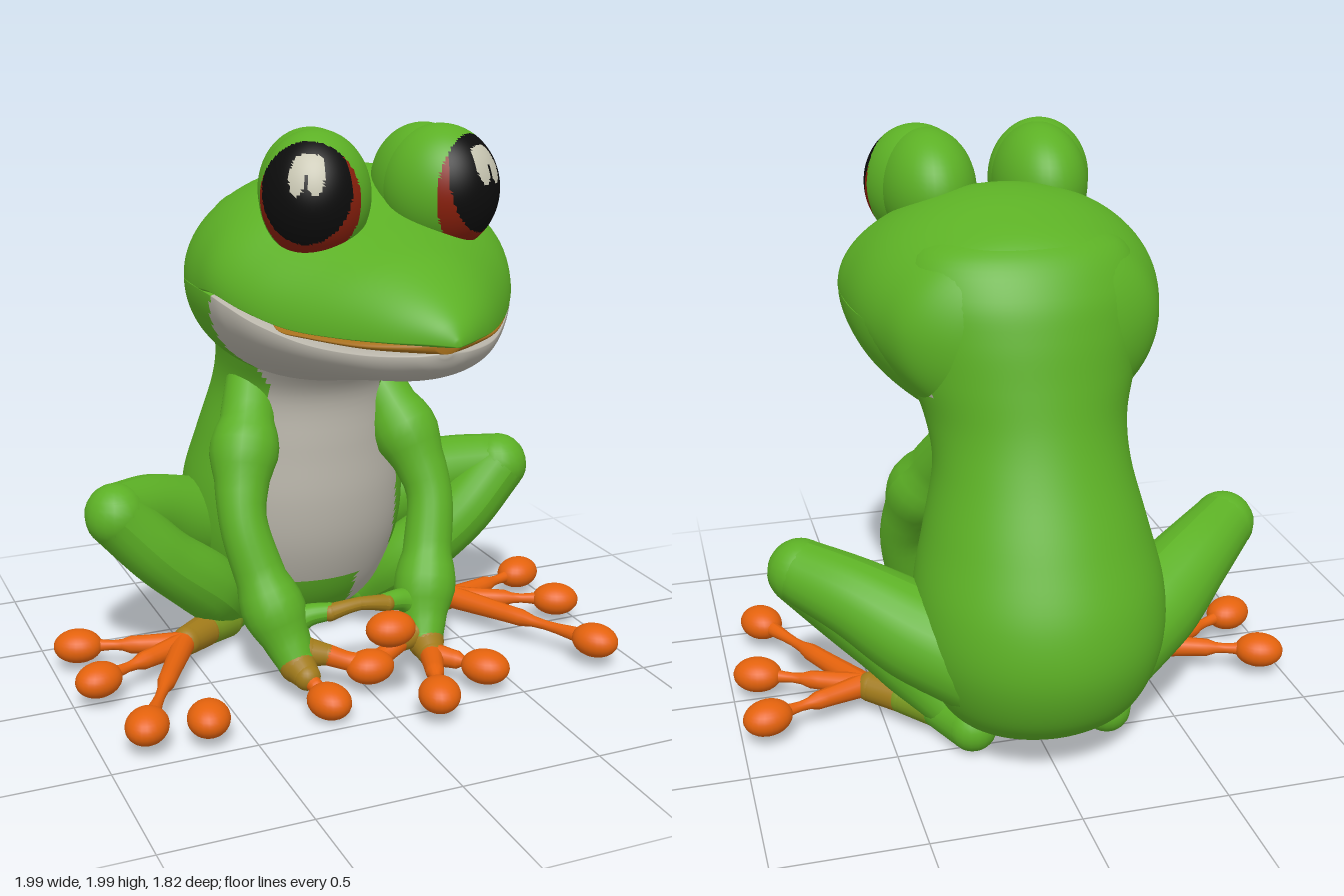
import * as THREE from 'three';
import { mergeGeometries } from 'three/addons/utils/BufferGeometryUtils.js';

const mat = (name, color) => Object.assign(new THREE.MeshStandardMaterial({ color }), { name });
const GREEN = mat('skin green', 0x5cb025);
const GREY = mat('belly grey', 0xb8b4a9);
const ORANGE = mat('toe orange', 0xe4620c);
const MOSS = mat('ankle moss', 0x7a9a20);
const OLIVE = mat('ankle olive', 0xa07a1a);
const MOUTH = mat('mouth brown', 0xa8701c);
const BLACK = mat('eye black', 0x0c0c0c);
const RED = mat('eye red', 0x8a200c);
const SHINE = mat('eye shine', 0xc8c6b2);

const spline = (a, b, c, d, t) =>
  0.5 * (2 * b + (c - a) * t + (2 * a - 5 * b + 4 * c - d) * t * t + (3 * b - a - 3 * c + d) * t * t * t);

// Smooth closed skin through rows of section values; place(row, angle) gives a point.
function loft(rows, place, steps = 6, sides = 96) {
  const rings = [];
  const last = rows.length - 1;
  for (let i = 0; i < last; i++) {
    for (let s = 0; s < steps + (i === last - 1 ? 1 : 0); s++) {
      const r = (k) => rows[Math.min(last, Math.max(0, k))];
      rings.push(rows[i].map((_, c) => spline(r(i - 1)[c], r(i)[c], r(i + 1)[c], r(i + 2)[c], s / steps)));
    }
  }
  const pos = [], index = [];
  for (const ring of rings) {
    for (let j = 0; j < sides; j++) pos.push(...place(ring, (j / sides) * Math.PI * 2));
  }
  const at = (i, j) => i * sides + (j % sides);
  for (let i = 0; i < rings.length - 1; i++) {
    for (let j = 0; j < sides; j++) {
      index.push(at(i, j), at(i + 1, j), at(i, j + 1), at(i + 1, j), at(i + 1, j + 1), at(i, j + 1));
    }
  }
  // end caps
  const n = rings.length - 1;
  for (let j = 1; j < sides - 1; j++) {
    index.push(at(0, 0), at(0, j), at(0, j + 1), at(n, 0), at(n, j + 1), at(n, j));
  }
  const geo = new THREE.BufferGeometry();
  geo.setAttribute('position', new THREE.Float32BufferAttribute(pos, 3));
  geo.setIndex(index);
  geo.computeVertexNormals();
  return geo;
}

// Sorts faces into material groups; pick(x, y, z) returns a material number.
function paint(geo, count, pick) {
  const p = geo.attributes.position, src = geo.index.array;
  const buckets = Array.from({ length: count }, () => []);
  for (let i = 0; i < src.length; i += 3) {
    const f = [src[i], src[i + 1], src[i + 2]];
    const mid = (get) => f.reduce((sum, k) => sum + get(k), 0) / 3;
    buckets[pick(mid((k) => p.getX(k)), mid((k) => p.getY(k)), mid((k) => p.getZ(k)))].push(...f);
  }
  geo.clearGroups();
  geo.setIndex(buckets.flat());
  let start = 0;
  buckets.forEach((b, m) => {
    geo.addGroup(start, b.length, m);
    start += b.length;
  });
  return geo;
}

// Round-ended tapering tube through [x, y, z, radius] points.
function limb(points, n = 24, sides = 20) {
  const curve = new THREE.CatmullRomCurve3(points.map((q) => new THREE.Vector3(q[0], q[1], q[2])));
  const radii = new THREE.CatmullRomCurve3(points.map((q) => new THREE.Vector3(q[3], 0, 0)));
  const geo = new THREE.TubeGeometry(curve, n, 1, sides);
  const p = geo.attributes.position, v = new THREE.Vector3();
  for (let i = 0; i <= n; i++) {
    const c = curve.getPointAt(i / n);
    const r = radii.getPoint(curve.getUtoTmapping(i / n)).x;
    for (let j = 0; j <= sides; j++) {
      const k = i * (sides + 1) + j;
      v.fromBufferAttribute(p, k).sub(c).multiplyScalar(r).add(c);
      p.setXYZ(k, v.x, v.y, v.z);
    }
  }
  geo.computeVertexNormals();
  const ends = [points[0], points[points.length - 1]].map((q) =>
    new THREE.SphereGeometry(q[3], 20, 14).translate(q[0], q[1], q[2]));
  return mergeGeometries([geo, ...ends]);
}

export function createModel() {
  const frog = new THREE.Group();
  frog.name = 'frog';
  const add = (name, geo, material, parent = frog) => {
    const mesh = new THREE.Mesh(geo, material);
    mesh.name = name;
    parent.add(mesh);
    return mesh;
  };

  // Torso rows: y, front z, back z, half width
  const torso = loft([
    [0.06, -0.36, -0.5, 0.06], [0.075, -0.28, -0.6, 0.2], [0.14, -0.2, -0.74, 0.3], [0.25, -0.13, -0.85, 0.37],
    [0.42, -0.07, -0.91, 0.42], [0.6, -0.05, -0.89, 0.42], [0.8, -0.06, -0.8, 0.375], [1.0, -0.06, -0.7, 0.33],
    [1.15, 0.05, -0.64, 0.34], [1.3, 0.15, -0.6, 0.39], [1.45, 0.18, -0.565, 0.425], [1.58, 0.1, -0.52, 0.41],
    [1.7, 0.0, -0.43, 0.33], [1.77, -0.08, -0.28, 0.12],
  ], ([y, f, b, w], a) => [w * Math.cos(a), y, (f + b) / 2 + ((f - b) / 2) * Math.sin(a)]);
  const bellyWidth = (y) => (y < 0.8 ? 0.31 : 0.22 + Math.max(0, 0.9 - y) * 0.9 + Math.max(0, y - 1.05) * 0.6);
  const isBelly = (x, y, z) => (y < 0.11 && z > -0.58) ||
    (z > -0.4 && y > (Math.abs(x) < 0.13 ? 0.27 : 0.08) && y < 1.3 && Math.abs(x) < bellyWidth(y));
  add('torso', paint(torso, 2, (x, y, z) => (isBelly(x, y, z) ? 1 : 0)), [GREEN, GREY]);

  // Head and jaw rows: z, top y, middle y, bottom y, half width
  const section = ([z, top, mid, low, w], a) => {
    const s = Math.sin(a);
    return [w * Math.cos(a), mid + (s > 0 ? top - mid : mid - low) * s, z];
  };
  add('upperHead', loft([
    [0.91, 1.42, 1.405, 1.4, 0.01], [0.87, 1.48, 1.41, 1.395, 0.08], [0.78, 1.55, 1.405, 1.39, 0.18],
    [0.65, 1.62, 1.4, 1.385, 0.285], [0.5, 1.67, 1.405, 1.385, 0.39], [0.35, 1.72, 1.44, 1.41, 0.48],
    [0.2, 1.79, 1.475, 1.44, 0.535], [0.05, 1.835, 1.465, 1.36, 0.54], [-0.1, 1.83, 1.46, 1.2, 0.525],
    [-0.25, 1.79, 1.45, 1.1, 0.48], [-0.38, 1.735, 1.44, 1.1, 0.42], [-0.47, 1.65, 1.42, 1.16, 0.3],
    [-0.52, 1.56, 1.4, 1.25, 0.15],
  ], section), GREEN);

  const jaw = loft([
    [0.83, 1.37, 1.36, 1.35, 0.02], [0.8, 1.37, 1.355, 1.3, 0.1], [0.7, 1.37, 1.35, 1.25, 0.225],
    [0.55, 1.375, 1.36, 1.215, 0.345], [0.4, 1.415, 1.4, 1.18, 0.45], [0.28, 1.46, 1.44, 1.15, 0.51],
    [0.2, 1.48, 1.46, 1.13, 0.534], [0.05, 1.48, 1.465, 1.09, 0.542], [-0.1, 1.47, 1.46, 1.07, 0.527],
    [-0.25, 1.46, 1.45, 1.07, 0.475], [-0.38, 1.45, 1.44, 1.12, 0.4],
  ], section);
  add('lowerJaw', paint(jaw, 2, (x, y, z) => (z > 0.2 - (1.46 - y) * 0.55 ? 1 : 0)), [GREEN, GREY]);

  // Mouth lining between the lips
  add('mouthLining', loft([
    [0.84, 1.41, 1.39, 1.365, 0.04], [0.8, 1.41, 1.385, 1.36, 0.118], [0.7, 1.41, 1.38, 1.355, 0.235],
    [0.55, 1.41, 1.385, 1.36, 0.35], [0.46, 1.41, 1.39, 1.37, 0.4], [0.38, 1.43, 1.42, 1.4, 0.4],
  ], section), MOUTH);

  const inside = (x, y, cx, cy, rx, ry) => ((x - cx) / rx) ** 2 + ((y - cy) / ry) ** 2 < 1;
  const pad = (parent, name, at, yaw) => {
    const mesh = add(name, new THREE.SphereGeometry(1, 24, 16).scale(0.073, 0.06, 0.088), ORANGE, parent);
    mesh.position.set(...at);
    mesh.rotation.y = yaw;
  };
  const toe = (parent, name, from, tip, r = 0.032) => {
    const mid = from.map((v, i) => (v + tip[i]) / 2);
    add(name, limb([[...from, r * 1.35], [...mid, r], [...tip, r]], 12, 14), ORANGE, parent);
    pad(parent, name + 'Pad', tip, Math.atan2(tip[0] - from[0], tip[2] - from[2]));
  };

  for (const s of [1, -1]) {
    const side = s > 0 ? 'left' : 'right';
    const m = (pts) => pts.map(([x, ...rest]) => [s * x, ...rest]);

    // Eye bulge with red rim, black ball and shine patches
    const eye = paint(new THREE.SphereGeometry(1, 96, 72).scale(0.178, 0.208, 0.2), 4, (x, y, z) => {
      const u = s * x;
      if (z < 0 || !inside(u, y, 0, -0.003, 0.16, 0.183)) return 0;
      if (inside(u, y, -0.035, 0.085, 0.027, 0.058) || inside(u, y, 0.025, 0.075, 0.025, 0.052) ||
        inside(u, y, -0.005, 0.118, 0.047, 0.03)) return 3;
      return inside(u, y, 0.005, 0.03, 0.144, 0.162) ? 2 : 1;
    });
    const eyeMesh = add(side + 'Eye', eye, [GREEN, RED, BLACK, SHINE]);
    eyeMesh.position.set(s * 0.22, 1.785, 0.325);
    eyeMesh.rotation.y = s * 0.56;
    // Brow easing the eye into the skull
    add(side + 'Brow', new THREE.SphereGeometry(1, 40, 28).scale(0.165, 0.205, 0.24), GREEN)
      .position.set(s * 0.2, 1.785, 0.25);

    // Front limb
    add(side + 'Arm', limb(m([
      [0.23, 1.04, -0.28, 0.09], [0.285, 0.9, -0.175, 0.1], [0.34, 0.74, -0.08, 0.1], [0.365, 0.6, -0.01, 0.085],
      [0.325, 0.4, 0.06, 0.09], [0.275, 0.22, 0.14, 0.09], [0.25, 0.13, 0.2, 0.07],
    ])), GREEN);
    add(side + 'Wrist', limb(m([[0.25, 0.12, 0.215, 0.066], [0.24, 0.1, 0.28, 0.048]]), 8), OLIVE);
    add(side + 'HandWeb', limb(m([[0.24, 0.24, 0.13, 0.06], [0.18, 0.27, 0.15, 0.04], [0.11, 0.28, 0.17, 0.032]]), 12), GREEN);
    add(side + 'ThumbWeb', limb(m([[0.11, 0.278, 0.175, 0.032], [0.05, 0.29, 0.18, 0.026], [0, 0.295, 0.18, 0.024]]), 8), OLIVE);
    add(side + 'ThumbBase', limb(m([[0.21, 0.15, 0.19, 0.055], [0.14, 0.14, 0.22, 0.038]]), 8), OLIVE);
    add(side + 'Thumb', limb(m([[0.14, 0.14, 0.22, 0.038], [0.07, 0.115, 0.25, 0.034], [0, 0.1, 0.28, 0.045]]), 10), ORANGE);

    // Folded hind leg
    add(side + 'Thigh', limb(m([
      [0.2, 0.36, -0.6, 0.17], [0.41, 0.45, -0.48, 0.165], [0.6, 0.55, -0.36, 0.135], [0.765, 0.605, -0.225, 0.112],
    ])), GREEN);
    add(side + 'Shin', limb(m([
      [0.765, 0.6, -0.22, 0.112], [0.6, 0.42, -0.22, 0.115], [0.42, 0.26, -0.28, 0.125], [0.28, 0.09, -0.4, 0.08],
    ])), GREEN);
    add(side + 'Heel', limb(m([[0.24, 0.085, -0.51, 0.085], [0.32, 0.08, -0.36, 0.07]]), 12), GREEN);
    const foot = new THREE.Group();
    foot.name = side + 'Foot';
    frog.add(foot);
    add('ankle', limb(m([[0.33, 0.08, -0.34, 0.072], [0.43, 0.09, -0.26, 0.062]]), 8), MOSS, foot);
    add('instep', limb(m([[0.44, 0.09, -0.25, 0.061], [0.53, 0.095, -0.18, 0.054]]), 8), OLIVE, foot);
    [[0.91, 0.095, -0.29], [0.91, 0.095, 0.01], [0.85, 0.095, 0.4]].forEach((tip, i) =>
      toe(foot, 'toe' + (i + 1), [s * 0.55, 0.095, -0.16], [s * tip[0], tip[1], tip[2]]));
  }

  // Fingers of the two hands, including the loose raised pads
  [[0.13, 0.095, 0.57], [0.38, 0.09, 0.43]].forEach((tip, i) => toe(frog, 'leftFinger' + (i + 1), [0.24, 0.1, 0.28], tip));
  toe(frog, 'rightFinger', [-0.24, 0.1, 0.27], [-0.21, 0.062, 0.41], 0.026);
  pad(frog, 'middleFingerPad', [0, 0.095, 0.28], Math.PI / 2);
  pad(frog, 'raisedFingerPad', [0, 0.31, 0.45], Math.PI / 2);
  pad(frog, 'outerFingerPad', [-0.645, 0.09, 0.42], -0.3);
  return frog;
}
